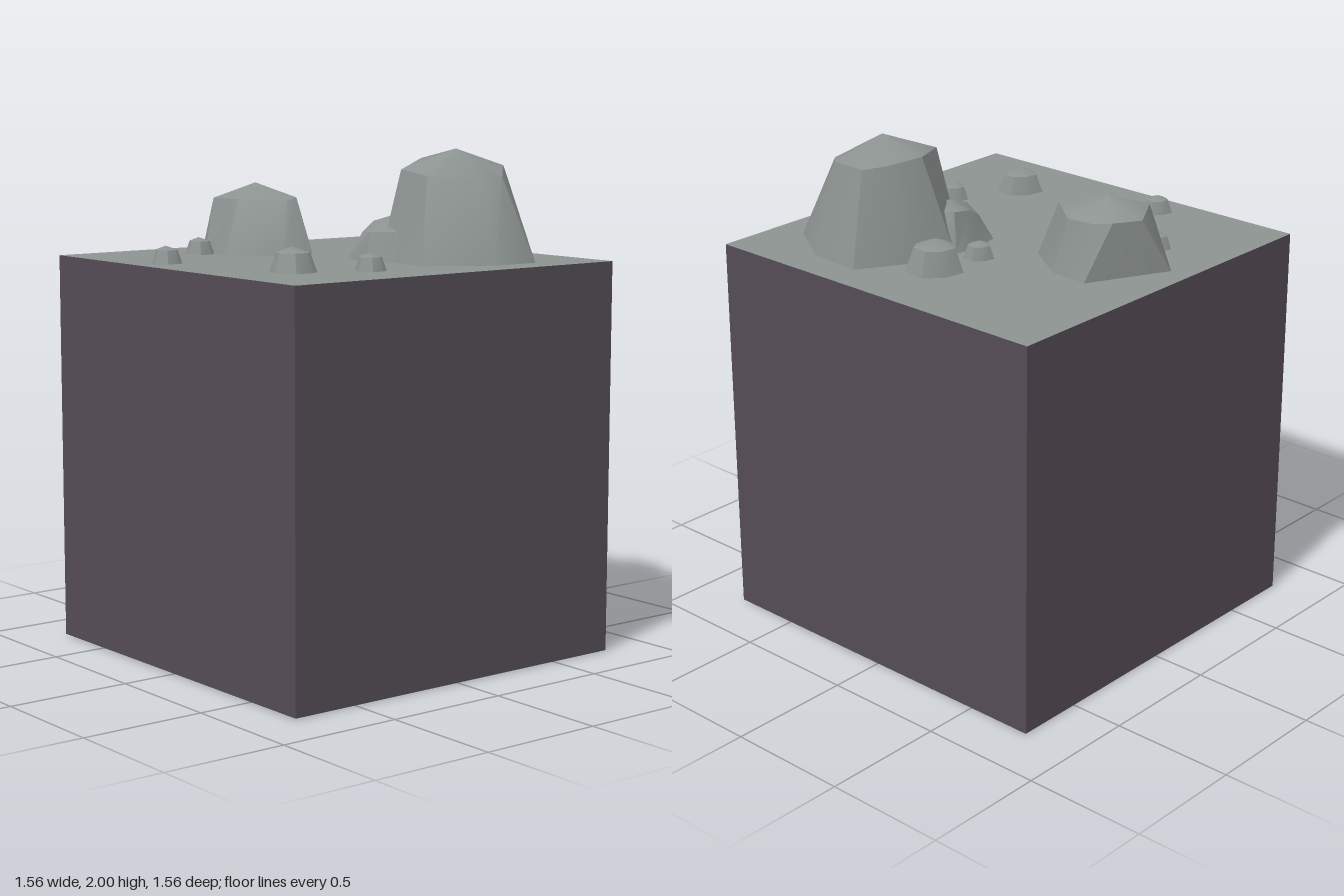
import * as THREE from 'three';
import { toCreasedNormals } from 'three/addons/utils/BufferGeometryUtils.js';

const HALF = 0.78, TOP = 1.565;

function material(name, color) {
  const m = new THREE.MeshStandardMaterial({ color });
  m.name = name;
  return m;
}

// Faceted boulder: flanks between two rings [x, z] and [x, y, z], closed by a rounded cap.
// Rings run clockwise seen from above.
function boulderGeometry(base, rim, apex, baseY) {
  const low = base.map(([x, z]) => new THREE.Vector3(x, baseY, z));
  const high = rim.map((p) => new THREE.Vector3(...p));
  const top = new THREE.Vector3(...apex);
  const corners = [];
  low.forEach((p, i) => {
    const j = (i + 1) % low.length;
    corners.push(low[j], p, high[i], low[j], high[i], high[j], top, high[j], high[i]);
  });
  return toCreasedNormals(new THREE.BufferGeometry().setFromPoints(corners), 0.68);
}

export function createModel() {
  const model = new THREE.Group();
  model.name = 'rockBlock';
  const stone = material('stone grey', 0x8c9391);
  const earth = material('dark earth', 0x544c55);
  const purple = material('purple', 0x9658d8);
  const pale = material('pale grey', 0xd8d8d8);

  const add = (name, geometry, mat) => {
    const mesh = new THREE.Mesh(geometry, mat);
    mesh.name = name;
    model.add(mesh);
    return mesh;
  };

  // Block: earth walls, stone top and underside
  const lift = 0.003;
  const block = new THREE.BoxGeometry(HALF * 2, TOP - lift, HALF * 2);
  block.translate(0, (TOP + lift) / 2, 0);
  add('block', block, [earth, earth, stone, stone, earth, earth]);

  // Coloured patches on the underside, with an optional rounded corner at x0, z0
  const patch = (name, x0, z0, x1, z1, mat, round = 0) => {
    const s = new THREE.Shape();
    s.moveTo(x0 + round, z0);
    s.lineTo(x1, z0);
    s.lineTo(x1, z1);
    s.lineTo(x0, z1);
    s.lineTo(x0, z0 + round);
    s.quadraticCurveTo(x0, z0, x0 + round, z0);
    add(name, new THREE.ShapeGeometry(s).rotateX(Math.PI / 2), mat);
  };
  patch('purplePatch', -0.03, -HALF, 0.56, 0, purple);
  patch('earthPatch', -0.615, 0, -0.03, HALF, earth);
  patch('paleStrip', -HALF, -HALF, -0.615, HALF, pale);
  patch('paleCorner', 0.56, 0.58, HALF, HALF, pale, 0.07);

  // Tall boulder
  add('tallBoulder', boulderGeometry(
    [[0.21, -0.65], [0.43, -0.635], [0.65, -0.49], [0.645, -0.29],
      [0.49, -0.05], [0.2, -0.08], [0.05, -0.26], [0.09, -0.45]],
    [[0.24, 1.93, -0.56], [0.39, 1.93, -0.555], [0.52, 1.89, -0.43], [0.51, 1.89, -0.33],
      [0.39, 1.9, -0.16], [0.25, 1.92, -0.145], [0.13, 1.955, -0.35], [0.18, 1.94, -0.48]],
    [0.35, 2, -0.34], TOP), stone);

  // Wide boulder
  add('wideBoulder', boulderGeometry(
    [[-0.53, -0.18], [-0.37, -0.17], [-0.19, -0.05], [-0.195, 0.095],
      [-0.32, 0.285], [-0.53, 0.24], [-0.69, 0.14], [-0.61, -0.02]],
    [[-0.52, 1.78, -0.12], [-0.41, 1.78, -0.135], [-0.28, 1.79, -0.035], [-0.285, 1.78, 0.01],
      [-0.4, 1.785, 0.17], [-0.54, 1.785, 0.19], [-0.65, 1.79, 0.01], [-0.59, 1.79, -0.09]],
    [-0.47, 1.845, 0.03], TOP), stone);

  // Low boulder leaning on the tall one
  add('leaningBoulder', boulderGeometry(
    [[0.1, -0.32], [0.28, -0.32], [0.38, -0.2], [0.31, -0.08],
      [0.22, 0.005], [0.05, -0.04], [0.025, -0.17], [0.04, -0.26]],
    [[0.12, 1.72, -0.26], [0.26, 1.7, -0.26], [0.32, 1.66, -0.18], [0.27, 1.68, -0.09],
      [0.2, 1.68, -0.03], [0.08, 1.67, -0.09], [0.065, 1.71, -0.16], [0.07, 1.72, -0.24]],
    [0.16, 1.735, -0.17], TOP), stone);

  // Pebbles: one unit shape, scaled and placed [x, z, radius, height]
  const base = [[-0.25, -1], [0.68, -0.88], [0.98, -0.38], [0.92, 0.43],
    [0.17, 1], [-0.48, 0.8], [-0.98, 0.43], [-0.82, -0.4]];
  const rim = base.map(([x, z]) => [x * 0.71 - 0.03, 0.77, z * 0.71 - 0.03]);
  const pebble = boulderGeometry(base, rim, [0, 1, 0], 0);
  [[-0.02, -0.44, 0.105, 0.125], [-0.05, -0.23, 0.057, 0.068], [-0.485, 0.305, 0.057, 0.068],
    [0.505, 0.22, 0.058, 0.068], [0.37, 0.483, 0.087, 0.095], [-0.22, 0.645, 0.058, 0.068],
  ].forEach(([x, z, r, h], i) => {
    const mesh = add(`pebble${i + 1}`, pebble, stone);
    mesh.position.set(x, TOP, z);
    mesh.scale.set(r, h, r);
  });

  return model;
}
